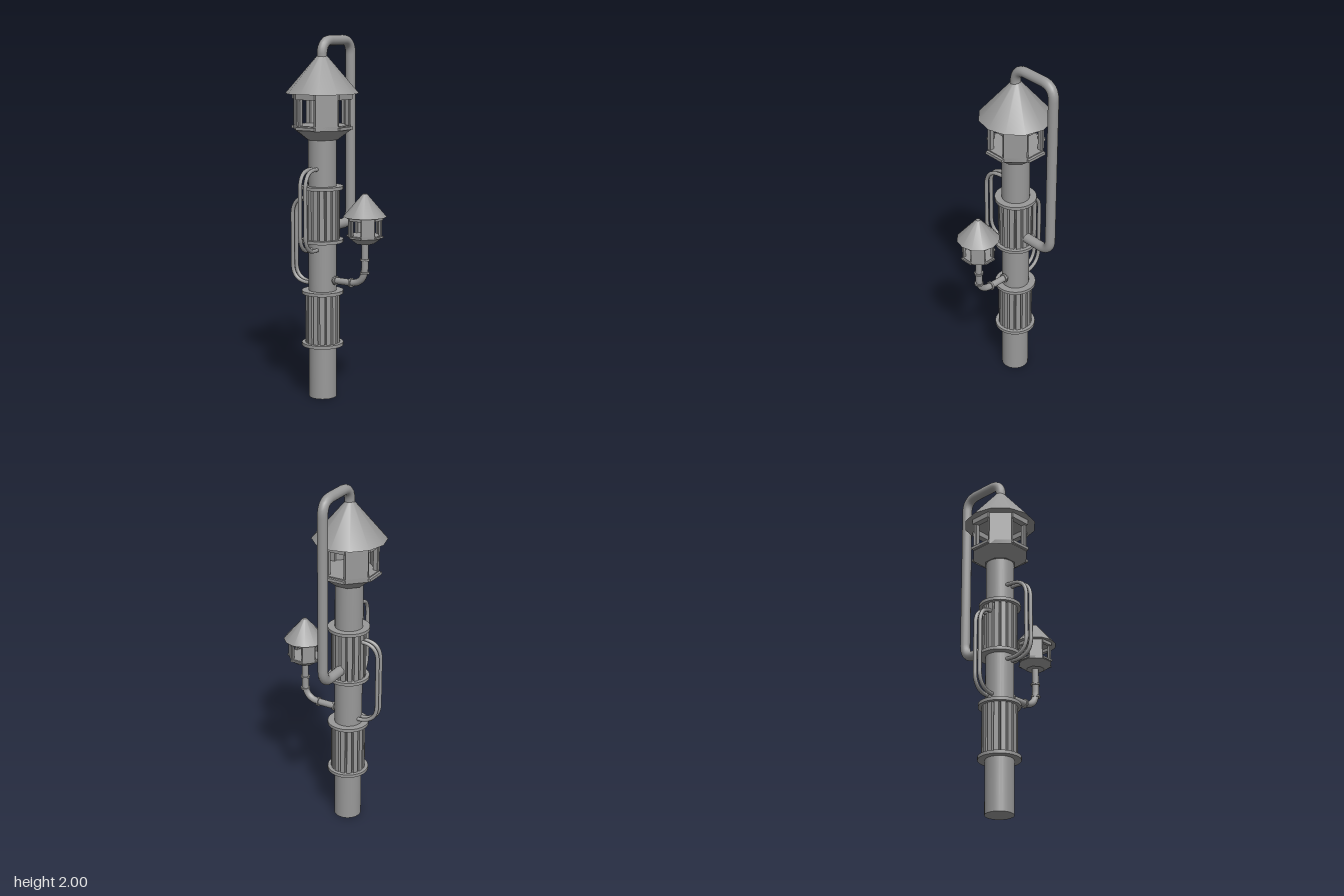
import * as THREE from 'three';

const smooth = new THREE.MeshStandardMaterial({ color: 0x999999 });
const flat = new THREE.MeshStandardMaterial({ color: 0x999999, flatShading: true });
const AX = -0.098, AZ = 0.043; // axis of the main column

function add(parent, name, geometry, material, x = 0, y = 0, z = 0) {
  const mesh = new THREE.Mesh(geometry, material);
  mesh.name = name;
  mesh.position.set(x, y, z);
  parent.add(mesh);
  return mesh;
}

// Pipe along straight runs joined by rounded corners
function pipe(parent, name, points, radius, bend, segments = 64, sides = 12) {
  const p = points.map((a) => new THREE.Vector3(...a));
  const path = new THREE.CurvePath();
  let from = p[0];
  for (let i = 1; i < p.length - 1; i++) {
    const toward = (q) => p[i].clone().add(q.clone().sub(p[i]).setLength(bend));
    const start = toward(p[i - 1]), end = toward(p[i + 1]);
    path.add(new THREE.LineCurve3(from, start));
    path.add(new THREE.QuadraticBezierCurve3(start, p[i].clone().lerp(start.clone().lerp(end, 0.5), 0.12), end));
    from = end;
  }
  path.add(new THREE.LineCurve3(from, p[p.length - 1]));
  return add(parent, name, new THREE.TubeGeometry(path, segments, radius, sides), smooth);
}

// Octagonal lantern house with a twelve-sided roof; origin at the bottom centre
function lanternHead(name) {
  const head = new THREE.Group();
  head.name = name;
  const apothem = 0.147, side = 0.122;
  const corner = 1 / Math.cos(Math.PI / 8);
  const base = add(head, 'flaredBase',
    new THREE.CylinderGeometry(apothem * corner, 0.08 * corner, 0.055, 8), smooth, 0, 0.0275);
  base.rotation.y = Math.PI / 8;
  const floor = add(head, 'floor',
    new THREE.CylinderGeometry(apothem * corner, apothem * corner, 0.025, 8), smooth, 0, 0.0675);
  floor.rotation.y = Math.PI / 8;
  for (let i = 0; i < 8; i++) {
    const face = new THREE.Group();
    face.name = i % 2 ? 'wallFace' : 'windowFace';
    face.rotation.y = i * Math.PI / 4;
    head.add(face);
    if (i % 2) {
      add(face, 'wallPanel', new THREE.BoxGeometry(side, 0.2, 0.02), flat, 0, 0.155, apothem - 0.01);
    } else {
      add(face, 'sill', new THREE.BoxGeometry(side, 0.016, 0.035), flat, 0, 0.066, 0.144);
      add(face, 'lintel', new THREE.BoxGeometry(side, 0.032, 0.035), flat, 0, 0.236, 0.14);
      for (const s of [-1, 1])
        add(face, 'windowPost', new THREE.BoxGeometry(0.016, 0.18, 0.024), flat, s * 0.053, 0.155, 0.13);
    }
  }
  add(head, 'roof', new THREE.CylinderGeometry(0.02, 0.201, 0.21, 12), smooth, 0, 0.355);
  return head;
}

// Collared section wrapped in vertical ribs
function ribbedSection(parent, bottom, top) {
  const section = new THREE.Group();
  section.name = 'ribbedSection';
  parent.add(section);
  for (const y of [bottom, top])
    add(section, 'collar', new THREE.CylinderGeometry(0.115, 0.115, 0.018, 32), smooth, 0, y);
  for (let i = 0; i < 16; i++) {
    const a = (i + 0.5) * Math.PI / 8;
    const rib = add(section, 'rib', new THREE.BoxGeometry(0.026, top - bottom, 0.03), flat,
      Math.sin(a) * 0.08, (bottom + top) / 2, Math.cos(a) * 0.08);
    rib.rotation.y = a;
  }
}

// Pair of thin looping pipes on the +z side of the column
function loopPipes(parent, name, bottom, top, reach) {
  const pair = new THREE.Group();
  pair.name = name;
  parent.add(pair);
  for (const x of [-0.004, 0.031])
    pipe(pair, 'thinPipe', [[x - 0.018, top, 0.05], [x, top, reach], [x, bottom, reach],
      [x - 0.018, bottom, 0.05]], 0.011, 0.09, 64, 8);
  return pair;
}

export function createModel() {
  const model = new THREE.Group();
  model.name = 'lampTower';

  const tower = new THREE.Group();
  tower.name = 'tower';
  tower.position.set(AX, 0, AZ);
  model.add(tower);
  add(tower, 'column', new THREE.CylinderGeometry(0.077, 0.077, 1.45, 32), smooth, 0, 0.725);
  ribbedSection(tower, 0.303, 0.597);
  ribbedSection(tower, 0.885, 1.178);

  const mainHead = lanternHead('mainLantern');
  mainHead.position.y = 1.44;
  tower.add(mainHead);

  // Thick pipe from the roof tip down the back into the column
  pipe(tower, 'backPipe', [[0.002, 1.87, 0.003], [0.002, 1.972, 0.003], [0.002, 1.972, -0.27],
    [0.002, 0.953, -0.27], [0.002, 0.953, -0.05]], 0.028, 0.07, 96, 14);

  // Thin pipes on the front and on the right side
  loopPipes(tower, 'frontPipes', 0.84, 1.283, 0.2);
  const sidePipes = loopPipes(tower, 'sidePipes', 0.64, 1.117, 0.181);
  sidePipes.rotation.y = -Math.PI / 2;

  // Bent arm carrying the small lantern
  const arm = new THREE.Group();
  arm.name = 'lampArm';
  tower.add(arm);
  const armX = 0.28;
  pipe(arm, 'armPipe', [[0.05, 0.668, 0], [armX, 0.668, 0], [armX, 0.915, 0]], 0.019, 0.085, 40);
  for (const [x, y, along] of [[0.09, 0.668, true], [0.192, 0.668, true],
    [armX, 0.733, false], [armX, 0.805, false]]) {
    const ring = add(arm, 'armFlange', new THREE.CylinderGeometry(0.026, 0.026, 0.01, 16), smooth, x, y);
    if (along) ring.rotation.z = Math.PI / 2;
  }
  const smallHead = lanternHead('smallLantern');
  smallHead.scale.setScalar(0.585);
  smallHead.position.set(armX, 0.895, 0);
  arm.add(smallHead);

  return model;
}
